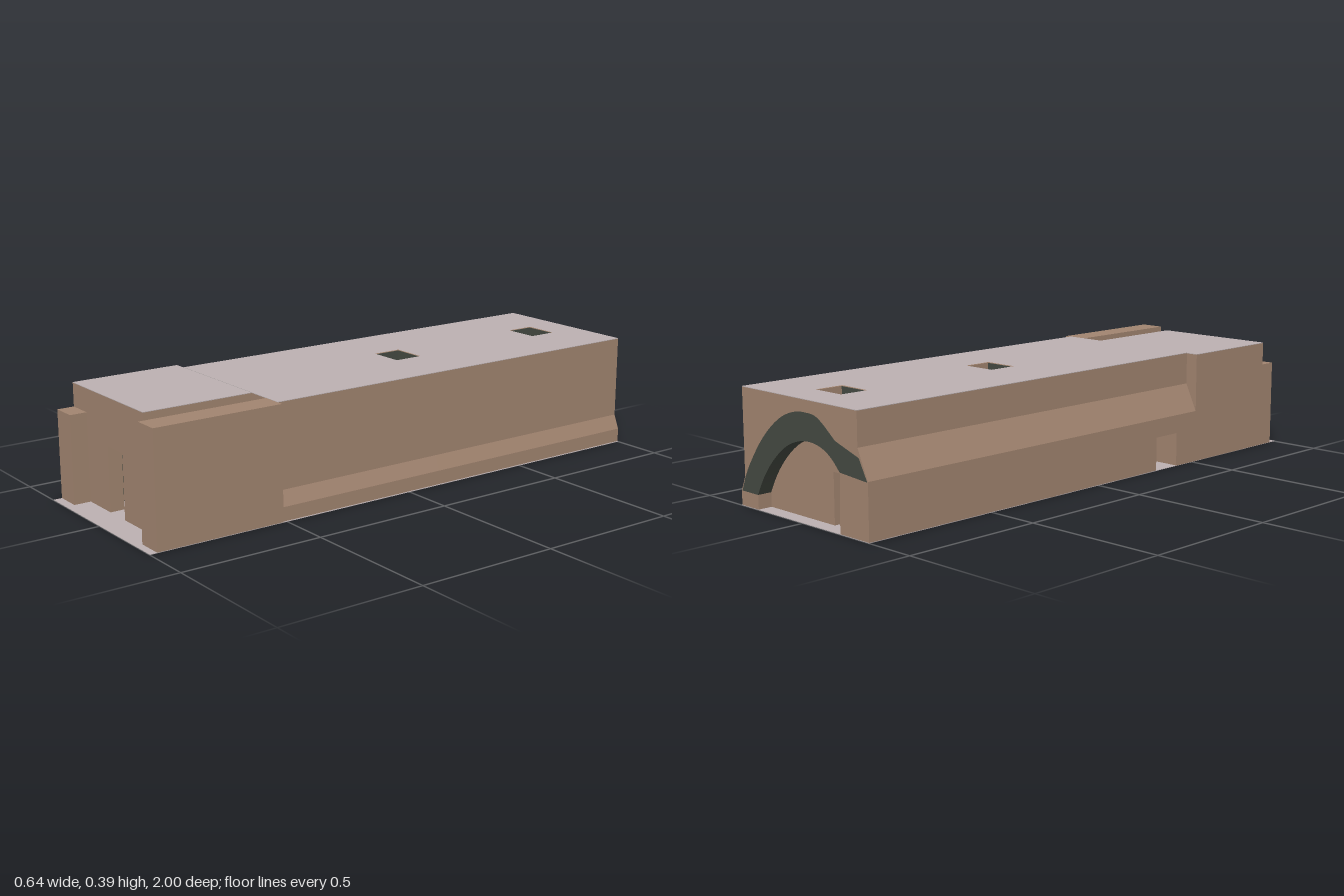
import * as THREE from 'three';

const brick = new THREE.MeshStandardMaterial({ color: 0xa28570 });
brick.name = 'brown masonry';
const paving = new THREE.MeshStandardMaterial({ color: 0xbcb1b2 });
paving.name = 'pale grey paving';
const stone = new THREE.MeshStandardMaterial({ color: 0x454a42 });
stone.name = 'dark vault stone';

const BASE = 0.001; // underside of everything standing on the floor slab

// Smooth arch line through a few points
const arch = points => new THREE.SplineCurve(points.map(([x, y]) => new THREE.Vector2(x, y)))
  .getPoints(24).map(p => [p.x, p.y]);

// Keep the side of an outline where sign * (x - limit) >= 0
function clip(points, limit, sign) {
  const out = [];
  points.forEach((p, i) => {
    const q = points[(i + 1) % points.length];
    const a = sign * (p[0] - limit), b = sign * (q[0] - limit);
    if (a >= 0) out.push(p);
    if (a * b < 0) {
      const t = a / (a - b);
      out.push([p[0] + (q[0] - p[0]) * t, p[1] + (q[1] - p[1]) * t]);
    }
  });
  return out;
}

const toPath = (points, Type = THREE.Shape) =>
  new Type(points.map(([x, y]) => new THREE.Vector2(x, y)));
const rect = (x0, x1, y0, y1) => [[x0, y0], [x1, y0], [x1, y1], [x0, y1]];

export function createModel() {
  const model = new THREE.Group();
  model.name = 'vaultedHall';

  function add(name, geometry, material) {
    const mesh = new THREE.Mesh(geometry, material);
    mesh.name = name;
    model.add(mesh);
    return mesh;
  }
  function box(name, x0, x1, y0, y1, z0, z1, material = brick) {
    const g = new THREE.BoxGeometry(x1 - x0, y1 - y0, z1 - z0);
    g.translate((x0 + x1) / 2, (y0 + y1) / 2, (z0 + z1) / 2);
    return add(name, g, material);
  }
  function extrude(name, points, z0, z1, material = brick, holes = []) {
    const shape = toPath(points);
    holes.forEach(h => shape.holes.push(toPath(h, THREE.Path)));
    const g = new THREE.ExtrudeGeometry(shape, { depth: z1 - z0, bevelEnabled: false });
    g.translate(0, 0, z0);
    return add(name, g, material);
  }
  // Flat outline in x and z, raised by a height
  function slab(name, points, y, height, material, holes = []) {
    const flip = list => list.map(([x, z]) => [x, -z]);
    const mesh = extrude(name, flip(points), 0, height, material, holes.map(flip));
    mesh.geometry.rotateX(-Math.PI / 2);
    mesh.geometry.translate(0, y, 0);
  }

  // Floor slab
  box('floor', -0.32, 0.32, 0, 0.002, -1, 1, paving);

  // Lopsided vault: high springing on the right, low on the left
  const intrados = arch([[0.227, 0.05], [0.19, 0.115], [0.14, 0.175], [0.08, 0.225],
    [0.02, 0.253], [-0.04, 0.263], [-0.1, 0.255], [-0.15, 0.23], [-0.19, 0.192]]);
  const extrados = arch([[-0.17, 0.285], [-0.09, 0.342], [-0.03, 0.351], [0.03, 0.345],
    [0.09, 0.322], [0.15, 0.28], [0.208, 0.222], [0.265, 0.145], [0.291, 0.1]]);
  const ring = [[-0.317, 0.183], [-0.28, 0.25], ...extrados, [0.311, 0.05], ...intrados];
  const bodyArch = intrados.map(([x, y]) => [x, y + 0.003]);

  // Hall cross-section with battered side walls
  const hall = [
    [-0.185, BASE], [-0.32, BASE], [-0.32, 0.185], [-0.275, 0.28], [-0.275, 0.39],
    [0.295, 0.39], [0.295, 0.1], [0.316, 0.05], [0.316, BASE], [0.227, BASE], ...bodyArch,
  ];

  // Hall built in lengths, opened at the skylights and the side door
  const skylights = [[-0.875, -0.77], [-0.235, -0.13]];
  [[-1, -0.875], [-0.77, -0.235], [-0.13, 0.3], [0.41, 0.515]].forEach(([z0, z1]) =>
    extrude('hallWalls', hall, z0, z1));
  extrude('hallWallsOverSideDoor', clip(hall, 0, -1).map(([x, y]) =>
    [x, Math.max(y, 0.12)]), 0.3, 0.41);
  extrude('hallWallsBesideDoor', clip(hall, 0, 1), 0.3, 0.41);
  [[-1.001, -0.875], [-0.77, -0.235], [-0.13, 0.512]].forEach(([z0, z1]) =>
    extrude('vaultRing', ring, z0, z1, stone));
  for (const [z0, z1] of skylights) {
    extrude('skylightWallRight', clip(hall, -0.045, -1), z0, z1);
    extrude('skylightWallLeft', clip(hall, 0.08, 1), z0, z1);
    extrude('skylightVaultRight', clip(ring, -0.045, -1), z0, z1, stone);
    extrude('skylightVaultLeft', clip(ring, 0.06, 1), z0, z1, stone);
    // Dark shaft linings
    box('shaftLining', -0.046, -0.043, 0.27, 0.389, z0, z1, stone);
    box('shaftLining', -0.045, 0.08, 0.27, 0.389, z0 - 0.001, z0 + 0.002, stone);
    box('shaftLining', -0.045, 0.08, 0.27, 0.389, z1 - 0.002, z1 + 0.001, stone);
  }

  // Hall roof surface with skylight openings
  slab('hallRoof', rect(-0.275, 0.295, -1, 0.515), 0.39, 0.002, paving,
    skylights.map(([z0, z1]) => rect(-0.045, 0.08, z0, z1)));

  // Recessed end wall under the arch, with its doorway
  extrude('endWall', [
    [-0.188, BASE], [-0.17, BASE], [-0.17, 0.17], [-0.096, 0.17], [-0.096, BASE],
    [0.23, BASE], ...bodyArch,
  ], -0.95, -0.92);

  // Front chamber: doorway wall, side walls and roof
  extrude('frontWall', [
    [-0.32, BASE], [-0.093, BASE], [-0.093, 0.225], [0.003, 0.225], [0.003, BASE],
    [0.145, BASE], [0.145, 0.389], [-0.32, 0.389],
  ], 0.86, 0.91);
  box('chamberRightWall', -0.32, -0.26, BASE, 0.389, 0.515, 0.86);
  box('chamberLeftWall', 0.1, 0.145, BASE, 0.389, 0.515, 0.86);
  box('chamberCeiling', -0.26, 0.1, 0.34, 0.389, 0.515, 0.86);
  box('chamberRoof', -0.32, 0.145, 0.389, 0.391, 0.515, 0.91, paving);

  // Dark arched lintel inside the chamber
  extrude('innerLintel', [
    [-0.2, 0.3], [-0.2, 0.165], [-0.095, 0.193], [-0.07, 0.198], [-0.045, 0.2],
    [-0.02, 0.198], [0.005, 0.193], [0.1, 0.165], [0.1, 0.3],
  ], 0.52, 0.56, stone);

  // Outer stair climbing to the roof
  const steps = 10, rise = 0.0307, run = 0.0345;
  for (let i = 0; i < steps; i++) {
    box('stairStep', 0.145, 0.23, BASE, rise * (i + 1), 0.515 + run * (steps - 1 - i),
      0.515 + run * (steps - i));
  }

  // Stair parapet wall and front buttress
  box('stairWall', 0.23, 0.32, BASE, 0.391, 0.515, 0.975);
  box('frontButtress', -0.32, -0.23, BASE, 0.308, 0.91, 0.97);

  // Low benches and blocks inside the hall and chamber
  box('rightBench', -0.185, -0.065, 0.045, 0.07, -0.6, 0.25);
  box('rightBenchBase', -0.185, -0.066, BASE, 0.045, -0.6, 0.34, stone);
  box('leftBench', -0.017, 0.227, BASE, 0.065, 0.05, 0.28);
  box('chamberBench', -0.26, -0.065, BASE, 0.045, 0.56, 0.82, stone);
  box('chamberBenchBack', -0.26, -0.1, 0.045, 0.13, 0.56, 0.82, stone);
  slab('endBlock', [[-0.065, -0.875], [0, -0.875], [0.06, -0.815], [0.06, -0.765],
    [0.005, -0.765], [-0.065, -0.835]], BASE, 0.034, brick);

  return model;
}
